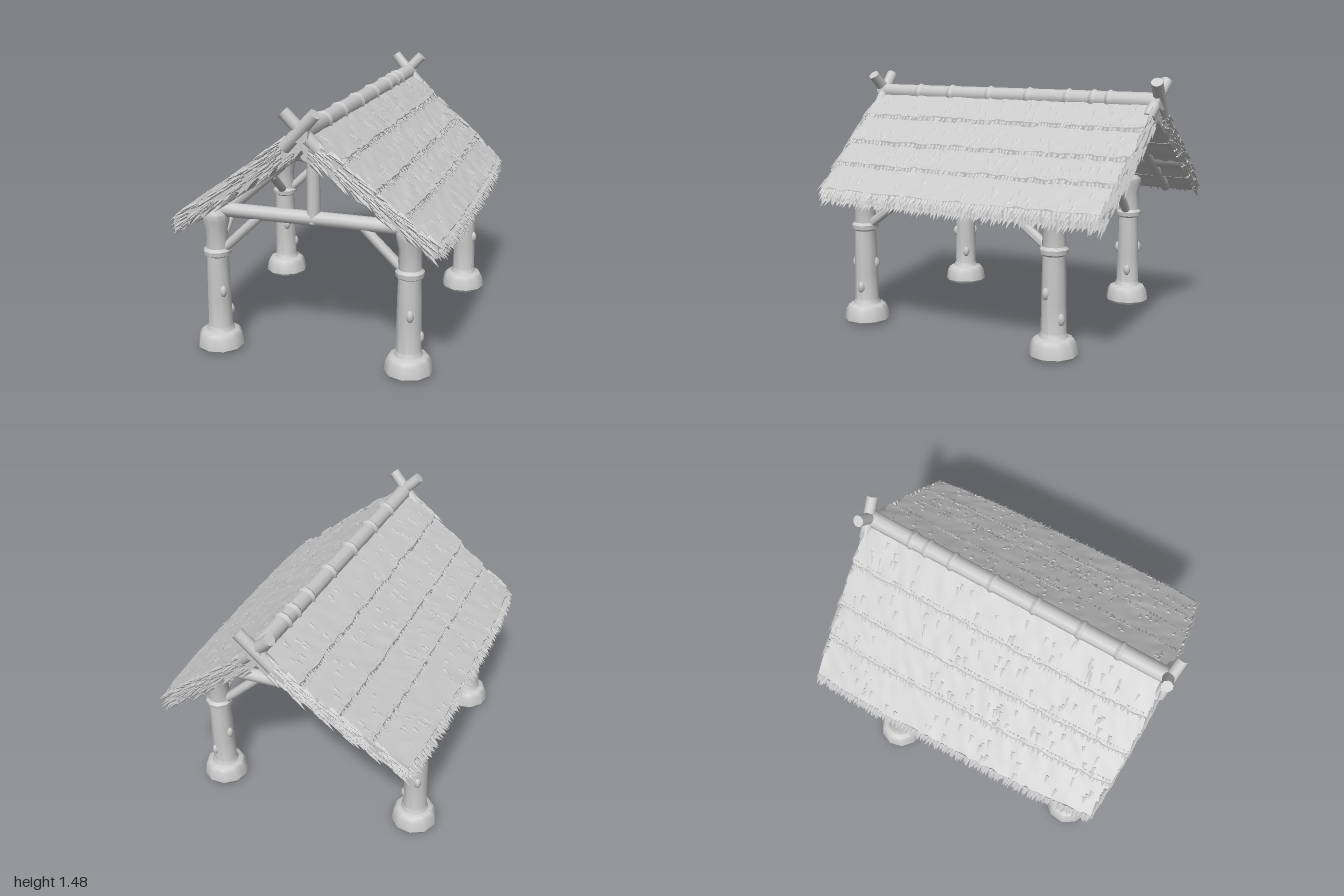
import * as THREE from 'three';
import { mergeGeometries, toCreasedNormals } from 'three/addons/utils/BufferGeometryUtils.js';

const V = (x, y, z) => new THREE.Vector3(x, y, z);

export function createModel() {
  const model = new THREE.Group();
  const clay = new THREE.MeshStandardMaterial({ color: 0xc9c9c9 });
  clay.name = 'pale grey';
  let seed = 7;
  const rnd = () => (seed = (seed * 16807) % 2147483647) / 2147483647;
  const jit = (a) => (rnd() * 2 - 1) * a;

  const add = (name, geo, parent = model) => {
    const m = new THREE.Mesh(geo, clay);
    m.name = name;
    parent.add(m);
    return m;
  };
  // Round timber between two points
  const pole = (name, a, b, r0, r1 = r0, parent = model) => {
    const g = toCreasedNormals(new THREE.CylinderGeometry(r1, r0, a.distanceTo(b), 10, 3), 0.9);
    const m = add(name, g, parent);
    m.position.copy(a).lerp(b, 0.5);
    m.quaternion.setFromUnitVectors(V(0, 1, 0), b.clone().sub(a).normalize());
    return m;
  };

  // Posts with chunky feet, a collar and a flared head
  const postProfile = [[0, 0], [0.125, 0.005], [0.135, 0.02], [0.125, 0.08], [0.11, 0.105], [0.082, 0.115],
    [0.07, 0.14], [0.069, 0.3], [0.066, 0.45], [0.062, 0.56], [0.078, 0.57], [0.08, 0.595], [0.064, 0.61],
    [0.062, 0.72], [0.075, 0.77], [0.078, 0.81], [0.062, 0.84], [0, 0.845]].map((p) => new THREE.Vector2(...p));
  const post = (x, z, turn) => {
    const g = new THREE.Group();
    g.name = 'post';
    g.position.set(x, 0, z);
    g.rotation.y = turn;
    add('postShaft', toCreasedNormals(new THREE.LatheGeometry(postProfile, 10), 0.7), g);
    for (const [y, a] of [[0.36, 0.3], [0.36, 3.4], [0.22, 1.7]]) {
      const knot = add('knot', new THREE.SphereGeometry(0.022, 8, 6), g);
      knot.scale.set(1, 1.6, 1);
      knot.position.set(Math.sin(a) * 0.062, y, Math.cos(a) * 0.062);
    }
    model.add(g);
    return V(x, 0, z);
  };
  const fl = post(0.545, 0.72, 0), fr = post(-0.565, 0.72, 0.5);
  const bl = post(0.59, -0.57, 1), br = post(-0.63, -0.48, 0.2);

  // Beams and diagonal braces joining neighbouring posts
  const at = (a, b, d, y) => a.clone().add(b.clone().sub(a).setLength(d)).setY(y);
  const span = (a, b, y, r, name) => {
    pole(name, at(a, b, 0, y), at(b, a, 0, y), r);
    for (const [p, q] of [[a, b], [b, a]]) pole('brace', at(p, q, 0.03, 0.59), at(p, q, 0.26, y - 0.02), 0.027);
  };
  span(fl, fr, 0.833, 0.04, 'frontTieBeam');
  span(bl, br, 0.833, 0.04, 'backTieBeam');
  span(fl, bl, 0.775, 0.035, 'leftSideBeam');
  span(fr, br, 0.775, 0.035, 'rightSideBeam');

  // King posts and inner ridge beam
  pole('frontKingPost', V(0.01, 0.81, 0.72), V(0.01, 1.22, 0.72), 0.038, 0.034);
  pole('backKingPost', V(0.02, 0.81, -0.53), V(0.02, 1.22, -0.53), 0.038, 0.034);
  pole('innerRidgeBeam', V(0.005, 1.205, 0.8), V(0.04, 1.205, -0.75), 0.04);

  // Roof surface: s is the side, u runs from ridge to eave, w from back (-1) to front (1)
  const ridgeX = (z) => 0.065 - 0.035 * (z / 0.95);
  const roof = (s, u, w, lift = 0) => {
    const z = w * (0.945 - 0.05 * u * u);
    const x0 = ridgeX(z), eave = s * (0.765 - 0.03 * w ** 4);
    return V(x0 + (eave - x0) * u, 1.365 - 0.57 * u + lift, z);
  };
  const under = (u) => -0.115 + 0.05 * u + 0.016 * Math.cos(u * Math.PI * 12);

  // One thatch course, lofted from front-to-back sections
  const course = (s, u0, u1) => {
    const NZ = 50, NU = 7, m = NU * 2, rings = [], pos = [];
    for (let i = 0; i <= NZ; i++) {
      const w = (i / NZ) * 2 - 1, ring = [], edge = jit(0.008);
      for (let k = 0; k < m; k++) {
        const t = (k < NU ? k : m - 1 - k) / (NU - 1);
        const u = u0 + (u1 - u0) * t + edge * t;
        ring.push(roof(s, u, w, k < NU ? 0.026 * t + jit(0.005) : under(u)));
      }
      rings.push(ring);
    }
    const tri = (a, b, c) => (s > 0 ? [a, b, c] : [a, c, b]).forEach((p) => pos.push(p.x, p.y, p.z));
    const quad = (a, b, c, d) => { tri(a, b, c); tri(a, c, d); };
    for (let i = 0; i < NZ; i++) for (let j = 0; j < m; j++) {
      const n = (j + 1) % m;
      quad(rings[i][j], rings[i + 1][j], rings[i + 1][n], rings[i][n]);
    }
    for (let k = 0; k < NU - 1; k++) {
      const c = (r) => [r[k], r[k + 1], r[m - 2 - k], r[m - 1 - k]];
      quad(...c(rings[0]));
      quad(...c(rings[NZ]).reverse());
    }
    const g = new THREE.BufferGeometry();
    g.setAttribute('position', new THREE.Float32BufferAttribute(pos, 3));
    return toCreasedNormals(g, 0.8);
  };

  // Pointed straw tuft lying along the slope
  const tuft = (s, p, u, w, len, wide, thick, tilt, out) => {
    const d = roof(s, 0.6, w).sub(roof(s, 0.4, w)).normalize();
    const n = V(-d.y * s, d.x * s, 0).normalize();
    d.addScaledVector(n, tilt);
    d.z += out;
    d.normalize();
    const side = d.clone().cross(n).normalize();
    const g = new THREE.ConeGeometry(1, 1, 4, 1, false);
    g.scale(wide, len, thick);
    g.applyMatrix4(new THREE.Matrix4().makeBasis(side, d, side.clone().cross(d)));
    g.translate(p.x + d.x * len * 0.4, p.y + d.y * len * 0.4, p.z + d.z * len * 0.4);
    return g;
  };

  const seams = [0, 0.28, 0.53, 0.74, 1];
  for (const s of [1, -1]) {
    const slope = new THREE.Group();
    slope.name = s > 0 ? 'leftRoofSlope' : 'rightRoofSlope';
    model.add(slope);
    const tufts = [];
    for (let i = 0; i < 4; i++) {
      const u0 = seams[i], u1 = seams[i + 1], last = i === 3;
      add('thatchCourse', course(s, u0, u1 + (last ? -0.01 : 0.01)), slope);
      // Ragged lower edge
      for (let k = 0; k < 90; k++) {
        const w = ((k + 0.5) / 90) * 2 - 1 + jit(0.008);
        tufts.push(tuft(s, roof(s, u1 - 0.01, w, 0.016), u1, w, 0.045 + rnd() * 0.025, 0.016, 0.01, jit(0.08) - 0.05, jit(0.25)));
        if (last) for (const low of [-0.012, -0.04])
          tufts.push(tuft(s, roof(s, 0.975, w, low), 1, w, 0.05 + rnd() * 0.025, 0.017, 0.014, -0.15 + jit(0.15), jit(0.25)));
      }
      // Loose straw on the surface
      for (let k = 0; k < 35; k++) {
        const t = 0.25 + rnd() * 0.6, w = jit(0.96);
        tufts.push(tuft(s, roof(s, u0 + (u1 - u0) * t, w, 0.026 * t), u0, w, 0.06, 0.014, 0.007, 0.08, jit(0.2)));
      }
    }
    // Shaggy gable edges
    for (const e of [1, -1]) for (let k = 0; k < 110; k++) {
      const u = 0.06 + 0.9 * rnd();
      const f = rnd();
      const p = roof(s, u, e * 0.995, under(u) * f + 0.02 * (1 - f));
      tufts.push(tuft(s, p, u, e, 0.07 + rnd() * 0.03, 0.013, 0.016, (0.5 - f) * 0.25, e * (0.05 + rnd() * 0.18)));
    }
    add('strawTufts', toCreasedNormals(mergeGeometries(tufts), 0.9), slope);
    // Rafters beneath the thatch
    for (const w of [-0.78, -0.4, 0, 0.4, 0.78])
      pole('rafter', roof(s, 0.04, w, -0.1), roof(s, 0.93, w, -0.07), 0.032, 0.032, slope);
  }

  // Ridge pole with bamboo-like knuckles
  const ridgePoint = (z) => V(ridgeX(z), 1.352, z);
  pole('ridgePole', ridgePoint(0.97), ridgePoint(-0.97), 0.048);
  for (const z of [0.65, 0.41, 0.13, -0.14, -0.4, -0.56, -0.66]) {
    const a = ridgePoint(z + 0.022), b = ridgePoint(z - 0.022);
    pole('ridgeKnuckle', a, a.clone().lerp(b, 0.5), 0.047, 0.058);
    pole('ridgeKnuckle', a.clone().lerp(b, 0.5), b, 0.058, 0.047);
  }

  // Crossed sticks at each gable tip
  for (const e of [1, -1]) for (const s of [1, -1]) {
    const c = ridgeX(e * 0.95) - 0.005;
    const z = e * (0.95 + s * 0.006);
    pole('crossedStick', V(c - s * 0.09, 1.27, z - e * 0.02), V(c + s * 0.088, 1.46, z + e * 0.01), 0.036, 0.033);
  }
  return model;
}
